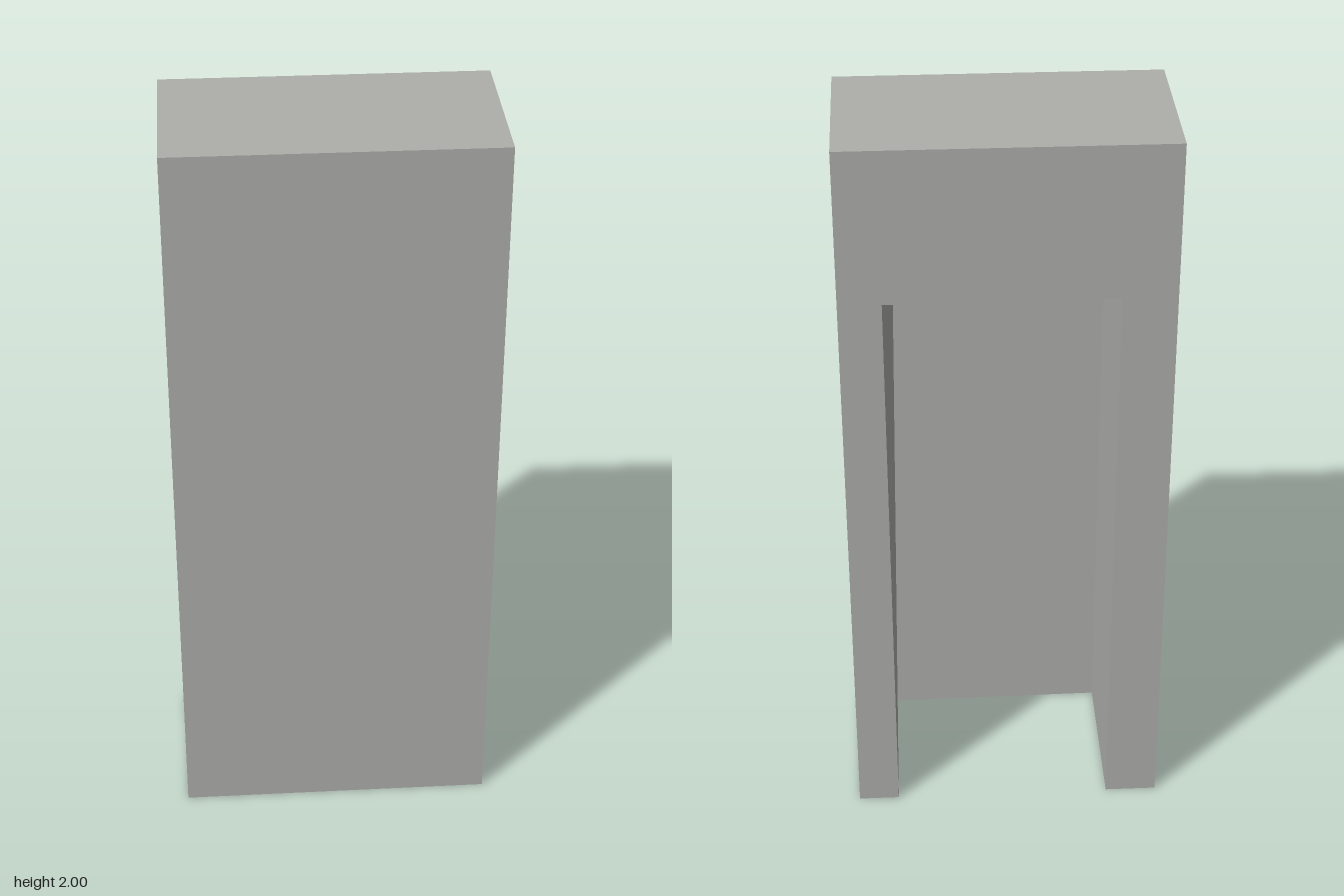
import * as THREE from 'three';

const W = 0.42, D = 0.225, H = 2; // half width, half depth, height
const L = 0.31, R = -0.28, T = 1.59; // niche left side, right side and ceiling

// Flat-shaded mesh from four-cornered faces, corners counter-clockwise from outside
function faces(name, quads, material) {
  const points = quads.flatMap(([a, b, c, d]) => [a, b, c, a, c, d].flat());
  const geometry = new THREE.BufferGeometry();
  geometry.setAttribute('position', new THREE.Float32BufferAttribute(points, 3));
  geometry.computeVertexNormals();
  const mesh = new THREE.Mesh(geometry, material);
  mesh.name = name;
  return mesh;
}

// Upright rectangle on the back, seen from -z
const backPanel = (x0, x1, y0, y1) =>
  [[x1, y0, -D], [x0, y0, -D], [x0, y1, -D], [x1, y1, -D]];

export function createModel() {
  const grey = new THREE.MeshStandardMaterial({ color: 0xaeaeab });
  grey.name = 'grey';
  const model = new THREE.Group();
  model.name = 'nicheBlock';

  // Niche corners: mouth on the back face, inner end close to the front
  const mouth = { lb: [L, 0, -D], lt: [L, T, -D], rb: [R, 0, -D], rt: [R, T, -D] };
  const inner = { lb: [L, 0, 0.207], lt: [0.28, T, 0.207], rb: [R, 0, 0.212], rt: [R, T, 0.212] };

  // Plain outer faces
  model.add(faces('outerShell', [
    [[-W, 0, D], [W, 0, D], [W, H, D], [-W, H, D]],
    [[W, 0, D], [W, 0, -D], [W, H, -D], [W, H, D]],
    [[-W, 0, -D], [-W, 0, D], [-W, H, D], [-W, H, -D]],
    [[-W, H, D], [W, H, D], [W, H, -D], [-W, H, -D]],
  ], grey));

  // Two posts and the lintel around the niche mouth
  model.add(faces('backSurround', [
    backPanel(-W, R, 0, T),
    backPanel(L, W, 0, T),
    backPanel(-W, W, T, H),
  ], grey));

  // U-shaped underside
  model.add(faces('bottomRim', [
    [[L, 0, -D], [W, 0, -D], [W, 0, D], inner.lb],
    [[-W, 0, -D], [R, 0, -D], inner.rb, [-W, 0, D]],
    [inner.rb, inner.lb, [W, 0, D], [-W, 0, D]],
  ], grey));

  // Niche walls and ceiling, with the left wall slightly twisted
  model.add(faces('nicheLining', [
    [inner.lb, inner.rb, inner.rt, inner.lt],
    [mouth.lb, inner.lb, inner.lt, mouth.lt],
    [inner.rb, mouth.rb, mouth.rt, inner.rt],
    [mouth.lt, inner.lt, inner.rt, mouth.rt],
  ], grey));

  return model;
}
